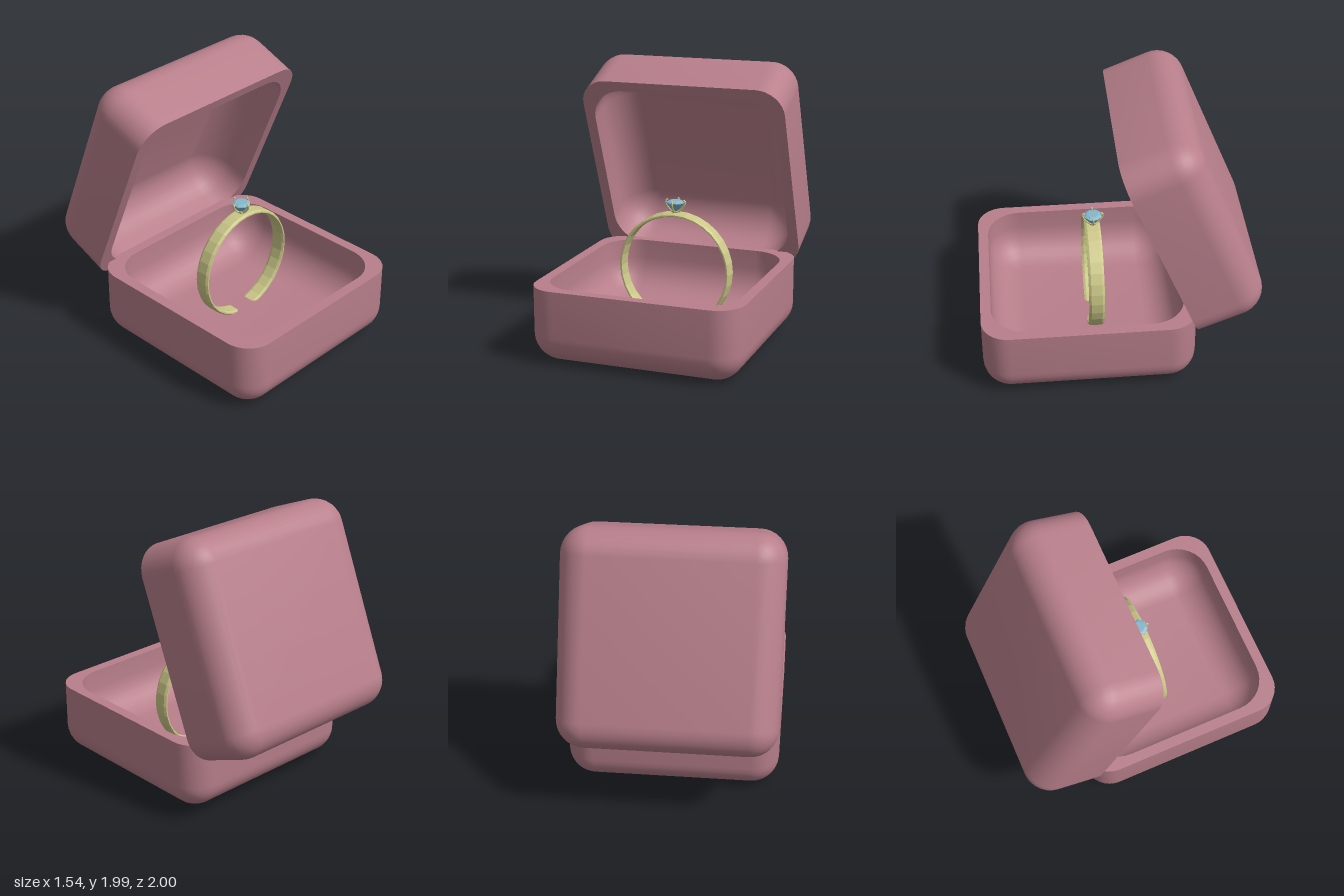
import * as THREE from 'three';
import { toCreasedNormals } from 'three/addons/utils/BufferGeometryUtils.js';

const velvet = new THREE.MeshStandardMaterial({ color: 0xb87f8b });
const gold = new THREE.MeshStandardMaterial({ color: 0xcbc788, flatShading: true });
const crystal = new THREE.MeshStandardMaterial({ color: 0x86b8cc, flatShading: true });

const DEPTH = 0.54, STEPS = 8;

// Rounded-square loop: corner centres at +-c, corner radius r
function squareLoop(c, r, y) {
  const loop = [];
  for (let q = 0; q < 4; q++) {
    const mid = (q + 0.5) * Math.PI / 2;
    const cx = c * Math.sign(Math.cos(mid)), cz = c * Math.sign(Math.sin(mid));
    for (let i = 0; i <= STEPS; i++) {
      const a = (q + i / STEPS) * Math.PI / 2;
      loop.push(new THREE.Vector3(cx + r * Math.cos(a), y, cz + r * Math.sin(a)));
    }
  }
  return loop;
}

// Hollow half of the box, opening up at y = 0, lofted from underside over the rim to the inner floor
function shellGeometry() {
  const outerR = 0.2, innerR = 0.25, outerC = 0.57, innerC = 0.445, floor = -0.39;
  const loops = [squareLoop(0, 0, -DEPTH)];
  for (let i = 0; i <= STEPS; i++) {
    const a = i / STEPS * Math.PI / 2;
    loops.push(squareLoop(outerC, outerR * Math.sin(a), -DEPTH + outerR * (1 - Math.cos(a))));
  }
  loops.push(squareLoop(outerC, outerR, 0), squareLoop(innerC, innerR, 0));
  for (let i = STEPS; i >= 0; i--) {
    const a = i / STEPS * Math.PI / 2;
    loops.push(squareLoop(innerC, innerR * Math.sin(a), floor + innerR * (1 - Math.cos(a))));
  }
  loops.push(squareLoop(0, 0, floor));

  const pos = [];
  const tri = (a, b, c) => {
    if (new THREE.Triangle(a, b, c).getArea() > 1e-8) {
      for (const p of [a, b, c]) pos.push(p.x, p.y, p.z);
    }
  };
  for (let k = 0; k + 1 < loops.length; k++) {
    const lo = loops[k], hi = loops[k + 1], n = lo.length;
    for (let i = 0; i < n; i++) {
      const j = (i + 1) % n;
      tri(lo[i], hi[i], hi[j]);
      tri(lo[i], hi[j], lo[j]);
    }
  }
  const g = new THREE.BufferGeometry();
  g.setAttribute('position', new THREE.Float32BufferAttribute(pos, 3));
  return toCreasedNormals(g, 0.7);
}

function addMesh(parent, name, geometry, material) {
  const m = new THREE.Mesh(geometry, material);
  m.name = name;
  parent.add(m);
  return m;
}

export function createModel() {
  const model = new THREE.Group();
  model.name = 'ringBox';

  // Box base and tilted lid share one shell
  const shell = shellGeometry();
  addMesh(model, 'boxBase', shell, velvet).position.set(0, DEPTH, 0.23);
  const lid = addMesh(model, 'boxLid', shell, velvet);
  lid.position.set(0, 1.133, -0.27);
  lid.rotation.x = THREE.MathUtils.degToRad(112.3);

  // Ring, standing upright in the base
  const ring = new THREE.Group();
  ring.name = 'ring';
  ring.position.set(0.035, 0.535, 0.16);
  model.add(ring);

  // Band: chamfered section turned about the z axis
  const section = [
    [0.393, -0.04], [0.4, -0.057], [0.41, -0.057], [0.42, -0.04],
    [0.42, 0.04], [0.41, 0.057], [0.4, 0.057], [0.393, 0.04], [0.393, -0.04],
  ].map(([r, h]) => new THREE.Vector2(r, h));
  const band = new THREE.LatheGeometry(section, 32);
  band.rotateX(Math.PI / 2);
  addMesh(ring, 'band', band, gold);

  // Gem and its setting
  const setting = new THREE.Group();
  setting.name = 'setting';
  setting.position.set(-0.005, 0.415, -0.005);
  ring.add(setting);

  const cut = [[0, 0.005], [0.026, 0.02], [0.068, 0.074], [0.068, 0.079], [0.045, 0.09], [0, 0.09]]
    .map(([r, h]) => new THREE.Vector2(r, h));
  const gem = addMesh(setting, 'gem', new THREE.LatheGeometry(cut, 8), crystal);
  gem.rotation.y = Math.PI / 8;

  addMesh(setting, 'collar', new THREE.CylinderGeometry(0.032, 0.026, 0.018, 8), gold).position.y = 0.008;

  // Four prongs curving up and hooking over the gem
  const path = new THREE.CatmullRomCurve3([
    [0.02, 0.005], [0.045, 0.028], [0.068, 0.06], [0.074, 0.085], [0.062, 0.093],
  ].map(([x, y]) => new THREE.Vector3(x, y, 0)));
  const prong = new THREE.TubeGeometry(path, 8, 0.007, 6);
  for (let i = 0; i < 4; i++) {
    const holder = new THREE.Group();
    holder.name = 'prong';
    holder.rotation.y = i * Math.PI / 2;
    addMesh(holder, 'prongWire', prong, gold);
    addMesh(holder, 'prongTip', new THREE.IcosahedronGeometry(0.009, 0), gold).position.set(0.064, 0.092, 0);
    setting.add(holder);
  }
  return model;
}
